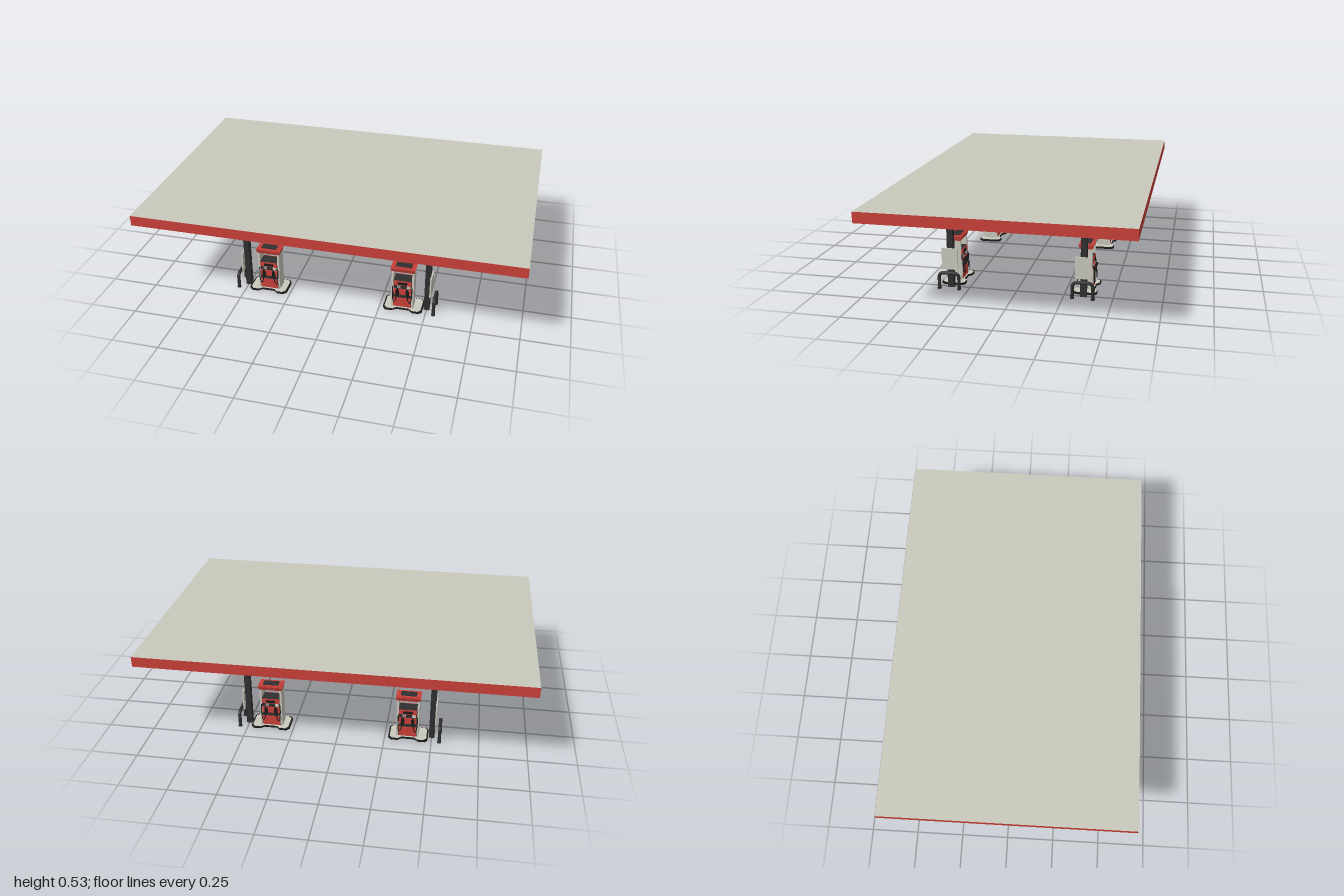
import * as THREE from 'three';

const mat = (name, color) => { const m = new THREE.MeshStandardMaterial({ color }); m.name = name; return m; };

export function createModel() {
  const red = mat('red', 0xc93f38), cream = mat('cream', 0xc8c8bc), dark = mat('charcoal', 0x2f2f30),
    black = mat('black', 0x1b1b1c), grey = mat('grey', 0x8c8c88);

  const root = new THREE.Group();
  root.name = 'fuelStation';

  const add = (parent, name, geo, m, x = 0, y = 0, z = 0) => {
    const mesh = new THREE.Mesh(geo, m);
    mesh.name = name;
    mesh.position.set(x, y, z);
    parent.add(mesh);
    return mesh;
  };
  // Box given by its centre in x and z and its bottom and top in y
  const box = (parent, name, m, w, y0, y1, d, x = 0, z = 0) =>
    add(parent, name, new THREE.BoxGeometry(w, y1 - y0, d), m, x, (y0 + y1) / 2, z);

  // Canopy: red fascia, cream roof and soffit
  const canopy = new THREE.Group();
  canopy.name = 'canopy';
  root.add(canopy);
  const sides = [red, red, cream, cream, red, red];
  box(canopy, 'roofSlab', sides, 2, 0.481, 0.53, 1.31);
  for (const s of [-1, 1]) {
    box(canopy, 'longRim', sides, 2, 0.475, 0.481, 0.03, 0, s * 0.64);
    box(canopy, 'shortRim', sides, 0.03, 0.475, 0.481, 1.25, s * 0.985, 0);
  }
  for (const x of [-0.5, 0, 0.5]) box(canopy, 'soffitSeam', cream, 0.016, 0.477, 0.481, 1.25, x);
  box(canopy, 'soffitHatch', cream, 0.04, 0.478, 0.481, 0.035, 0.76, 0.454);

  // Dog-bone outline of the pump island, in the ground plane
  const islandGeometry = (scale, height) => {
    const s = new THREE.Shape();
    const half = [[-0.105, 0.045], [-0.09, 0.063], [-0.055, 0.063], [-0.035, 0.045],
      [0.035, 0.045], [0.055, 0.063], [0.09, 0.063], [0.105, 0.045]];
    const outline = [...half, ...half.map(([x, z]) => [x, -z]).reverse()];
    s.setFromPoints(outline.map(([x, z]) => new THREE.Vector2(x * scale, z * scale)));
    return new THREE.ExtrudeGeometry(s, { depth: height, bevelEnabled: false }).rotateX(-Math.PI / 2);
  };

  // Pump header: widens upward
  const headerGeometry = () => {
    const g = new THREE.BoxGeometry(0.132, 0.022, 0.08);
    const p = g.attributes.position;
    for (let i = 0; i < p.count; i++) {
      if (p.getY(i) < 0) { p.setX(i, p.getX(i) * 0.93); p.setZ(i, p.getZ(i) * 0.82); }
    }
    g.computeVertexNormals();
    return g;
  };

  const buildPump = () => {
    const pump = new THREE.Group();
    pump.name = 'pump';
    box(pump, 'cabinet', dark, 0.1, 0.01, 0.175, 0.064);
    for (const s of [-1, 1]) {
      box(pump, 'sidePillar', cream, 0.011, 0.01, 0.23, 0.066, s * 0.0545);
      box(pump, 'sideCover', cream, 0.006, 0.012, 0.12, 0.076, s * 0.054);
    }
    add(pump, 'header', headerGeometry(), red, 0, 0.24, 0);
    box(pump, 'headerCap', red, 0.104, 0.25, 0.255, 0.064);
    box(pump, 'headerTopPlate', dark, 0.085, 0.254, 0.256, 0.045);

    // The same controls on both faces
    for (const turn of [0, Math.PI]) {
      const face = new THREE.Group();
      face.name = 'pumpFace';
      face.rotation.y = turn;
      pump.add(face);
      box(face, 'lowerPanel', red, 0.094, 0.014, 0.068, 0.006, 0, 0.034);
      box(face, 'middlePanel', red, 0.094, 0.09, 0.125, 0.006, 0, 0.034);
      box(face, 'upperPanel', red, 0.094, 0.148, 0.174, 0.006, 0, 0.034);
      box(face, 'display', black, 0.05, 0.153, 0.168, 0.004, 0, 0.037);
      box(face, 'priceCard', cream, 0.02, 0.13, 0.145, 0.004, 0.033, 0.034);
      box(face, 'keypad', grey, 0.018, 0.13, 0.144, 0.004, -0.02, 0.034);
      for (const s of [-1, 1]) {
        box(face, 'nozzleHolster', black, 0.018, 0.085, 0.118, 0.01, s * 0.027, 0.036);
        const nozzle = box(face, 'nozzle', black, 0.008, 0.1, 0.132, 0.01, s * 0.027, 0.043);
        nozzle.rotation.x = 0.25;
        const hose = new THREE.CatmullRomCurve3([[0.027, 0.1, 0.042], [0.034, 0.06, 0.045],
          [0.044, 0.045, 0.045], [0.051, 0.08, 0.042], [0.052, 0.14, 0.036]]
          .map(([x, y, z]) => new THREE.Vector3(s * x, y, z)));
        add(face, 'hose', new THREE.TubeGeometry(hose, 16, 0.0025, 6), black);
      }
    }
    return pump;
  };

  // One bay, its column toward -x
  const buildBay = (withLamp) => {
    const bay = new THREE.Group();
    bay.name = 'pumpBay';
    box(bay, 'column', dark, 0.027, 0, 0.475, 0.031, -0.5);
    box(bay, 'columnCap', dark, 0.044, 0.471, 0.48, 0.046, -0.5);
    for (const s of [-1, 1]) box(bay, 'columnRib', dark, 0.03, 0, 0.471, 0.005, -0.5, s * 0.0135);
    box(bay, 'columnSign', cream, 0.008, 0.1, 0.215, 0.086, -0.518);

    if (withLamp) {
      const lamp = box(bay, 'columnLamp', grey, 0.005, 0.368, 0.402, 0.016, -0.476);
      lamp.rotation.z = 0.65;
    }

    // Hoop-shaped guard outside the column
    const path = new THREE.CurvePath();
    const v = (y, z) => new THREE.Vector3(-0.542, y, z);
    path.add(new THREE.LineCurve3(v(0, -0.053), v(0.06, -0.053)));
    path.add(new THREE.QuadraticBezierCurve3(v(0.06, -0.053), v(0.088, -0.053), v(0.088, -0.025)));
    path.add(new THREE.LineCurve3(v(0.088, -0.025), v(0.088, 0.025)));
    path.add(new THREE.QuadraticBezierCurve3(v(0.088, 0.025), v(0.088, 0.053), v(0.06, 0.053)));
    path.add(new THREE.LineCurve3(v(0.06, 0.053), v(0, 0.053)));
    add(bay, 'guardHoop', new THREE.TubeGeometry(path, 48, 0.009, 10), dark);
    for (const s of [-1, 1]) {
      add(bay, 'guardFoot', new THREE.CylinderGeometry(0.011, 0.011, 0.006, 12), dark, -0.542, 0.003, s * 0.053);
    }

    add(bay, 'islandKerb', islandGeometry(1, 0.01), black, -0.375);
    add(bay, 'islandTop', islandGeometry(0.93, 0.002), cream, -0.375, 0.01);
    const pump = buildPump();
    pump.position.x = -0.37;
    bay.add(pump);
    return bay;
  };

  for (const z of [-0.35, 0.35]) {
    for (const turn of [0, Math.PI]) {
      const bay = buildBay(z < 0);
      bay.position.z = z;
      bay.rotation.y = turn;
      root.add(bay);
    }
  }
  return root;
}
